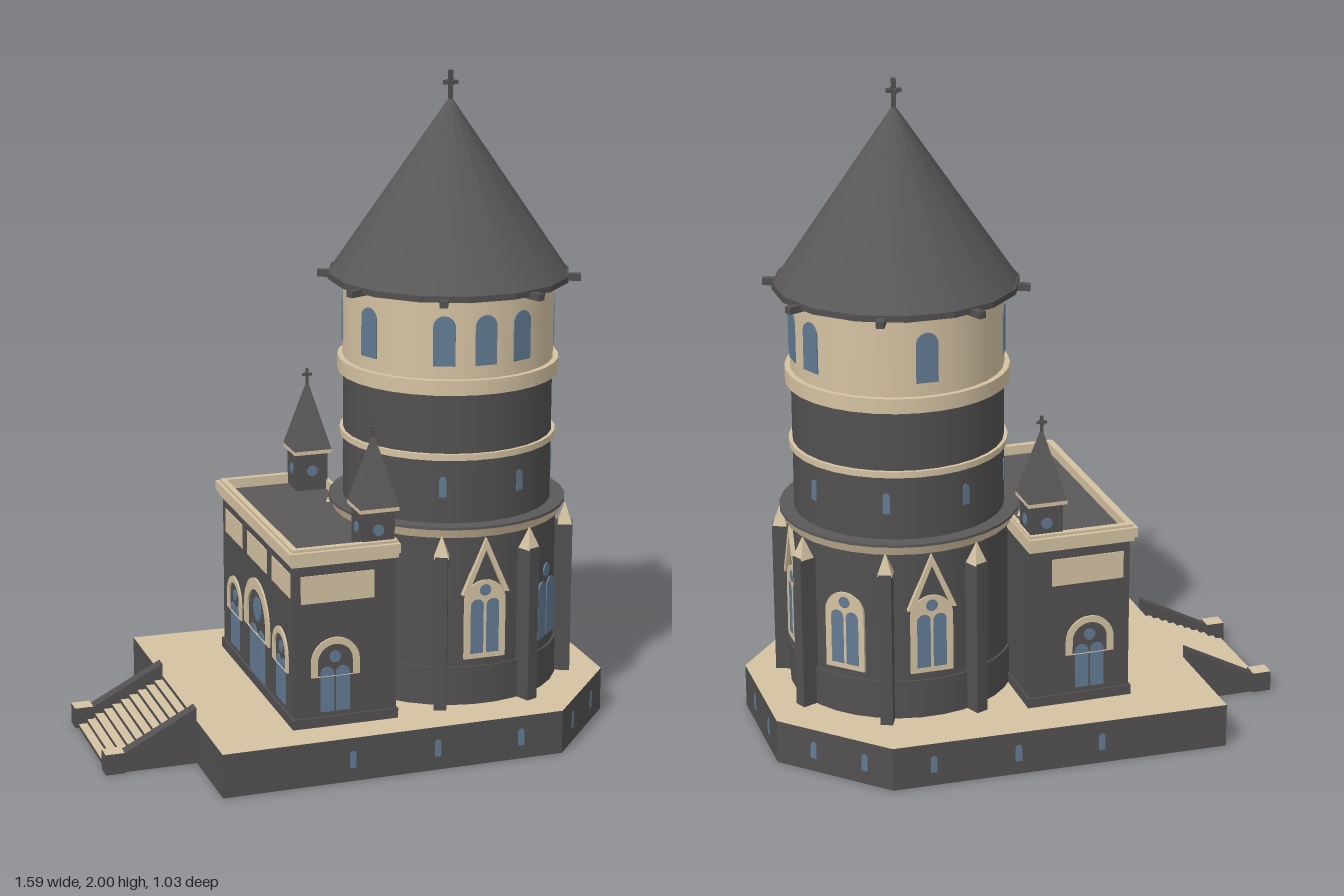
import * as THREE from 'three';

export function createModel() {
  const root = new THREE.Group();
  root.name = 'roundTowerChapel';
  const mat = (name, color) => {
    const m = new THREE.MeshStandardMaterial({ color });
    m.name = name;
    return m;
  };
  const stone = mat('darkStone', 0x525050);
  const slate = mat('roofSlate', 0x5a5858);
  const sand = mat('sandstone', 0xd4c2a2);
  const glass = mat('blueGlass', 0x637a93);

  const add = (parent, name, geo, m, x = 0, y = 0, z = 0) => {
    const mesh = new THREE.Mesh(geo, m);
    mesh.name = name;
    mesh.position.set(x, y, z);
    parent.add(mesh);
    return mesh;
  };
  const group = (parent, name, x = 0, y = 0, z = 0, ry = 0) => {
    const g = new THREE.Group();
    g.name = name;
    g.position.set(x, y, z);
    g.rotation.y = ry;
    parent.add(g);
    return g;
  };
  // Box given by its lower and upper corners
  const box = (parent, name, m, x0, x1, y0, y1, z0, z1) =>
    add(parent, name, new THREE.BoxGeometry(x1 - x0, y1 - y0, z1 - z0), m,
      (x0 + x1) / 2, (y0 + y1) / 2, (z0 + z1) / 2);
  // Round or polygonal section between two heights, with a flat side to the front
  const drum = (parent, name, m, r0, r1, y0, y1, sides = 32, flat = false) => {
    let geo = new THREE.CylinderGeometry(r1, r0, y1 - y0, sides);
    geo.rotateY(Math.PI / sides);
    if (flat) {
      geo = geo.toNonIndexed();
      geo.computeVertexNormals();
    }
    return add(parent, name, geo, m, 0, (y0 + y1) / 2, 0);
  };
  // Round-headed outline: x centre, half width, sill and springing heights
  const arch = (cx, hw, y0, ys, Type = THREE.Shape) => {
    const s = new Type();
    s.moveTo(cx - hw, y0);
    s.lineTo(cx + hw, y0);
    s.lineTo(cx + hw, ys);
    s.absarc(cx, ys, hw, 0, Math.PI, false);
    s.closePath();
    return s;
  };
  const disc = (cx, cy, r) => {
    const s = new THREE.Shape();
    s.absarc(cx, cy, r, 0, Math.PI * 2, false);
    return s;
  };
  const poly = pts => new THREE.Shape(pts.map(p => new THREE.Vector2(p[0], p[1])));
  const plate = (parent, name, shape, m, z, depth = 0.006) =>
    add(parent, name, new THREE.ExtrudeGeometry(shape, { depth, bevelEnabled: false, curveSegments: 8 }), m, 0, 0, z);
  // Pair of narrow lights with a small round light above
  const twinLights = (parent, y0, ys, z, hw = 0.021, rose = 0.018) => {
    for (const s of [-1, 1]) plate(parent, 'light', arch(s * (hw + 0.003), hw, y0, ys), glass, z);
    plate(parent, 'roundLight', disc(0, ys + hw + 0.03, rose), glass, z);
  };
  const cross = (parent, y, h, w) => {
    const t = w * 0.26;
    box(parent, 'finialPost', stone, -t / 2, t / 2, y, y + h, -t / 2, t / 2);
    const yb = y + h * 0.58;
    box(parent, 'finialBar', stone, -w / 2, w / 2, yb, yb + t, -t / 2, t / 2);
    box(parent, 'finialBar', stone, -t / 2, t / 2, yb, yb + t, -w / 2, w / 2);
  };

  // Terrace
  const outline = [[-0.52, 0.515], [0.54, 0.505], [0.792, 0.21], [0.792, -0.2], [0.515, -0.485], [-0.52, -0.515]];
  const terrace = new THREE.ExtrudeGeometry(poly(outline.map(([x, z]) => [x, -z])), { depth: 0.135, bevelEnabled: false });
  terrace.rotateX(-Math.PI / 2);
  add(root, 'terrace', terrace, [sand, stone]);
  // Terrace vents, spread along each wall except the stair side
  [[0.375, 0.625, 0.875], [0.27, 0.74], [0.31, 0.74], [0.32, 0.76], [0.12, 0.37, 0.62]].forEach((spots, i) => {
    const [ax, az] = outline[i], [bx, bz] = outline[i + 1];
    for (const t of spots) {
      const g = group(root, 'terraceVent', ax + (bx - ax) * t, 0, az + (bz - az) * t, Math.atan2(-(bz - az), bx - ax));
      plate(g, 'ventGlass', arch(0, 0.01, 0.042, 0.085), glass, -0.003, 0.0045);
    }
  });

  // Stairs
  const stairs = group(root, 'stairs');
  const topped = [stone, stone, sand, stone, stone, stone];
  const steps = 10, run = 0.27 / steps;
  for (let i = 0; i < steps; i++) {
    const top = 0.135 * (i + 1) / (steps + 1);
    box(stairs, 'step', topped, -0.79 + i * run, -0.79 + (i + 1) * run, Math.max(0, top - 0.025), top, -0.155, 0.205);
  }
  for (const z of [-0.19, 0.2]) {
    plate(stairs, 'stairParapet', poly([[-0.79, 0], [-0.52, 0], [-0.52, 0.175], [-0.74, 0.06], [-0.79, 0.06]]), stone, z, 0.037);
    box(stairs, 'newel', topped, -0.8, -0.742, 0, 0.064, z - 0.008, z + 0.045);
  }

  // Entrance hall
  const hall = group(root, 'entranceHall', 0, 0, 0.025);
  box(hall, 'hallWalls', [stone, stone, slate, stone, stone, stone], -0.265, 0.05, 0.135, 0.66, -0.37, 0.37);
  box(hall, 'hallPlinth', stone, -0.272, 0.055, 0.135, 0.165, -0.377, 0.377);
  const ring = (name, x0, x1, z, y0, y1) => {
    const s = poly([[x0, -z], [x1, -z], [x1, z], [x0, z]]);
    s.holes.push(poly([[-0.255, -0.358], [-0.255, 0.358], [0.04, 0.358], [0.04, -0.358]]));
    const g = new THREE.ExtrudeGeometry(s, { depth: y1 - y0, bevelEnabled: false });
    g.rotateX(-Math.PI / 2);
    add(hall, name, g, sand, 0, y0, 0);
  };
  ring('lowerCornice', -0.275, 0.053, 0.38, 0.637, 0.653);
  ring('upperCornice', -0.283, 0.056, 0.39, 0.653, 0.682);
  ring('parapetTop', -0.272, 0.052, 0.378, 0.682, 0.69);

  // Arched opening with a hood ring
  const hoodedWindow = (parent, x, r, ys, lights) => {
    const g = group(parent, 'hoodedWindow', x);
    const hood = arch(0, r, ys - 0.045, ys);
    hood.holes.push(arch(0, r * 0.73, ys - 0.044, ys, THREE.Path));
    plate(g, 'hood', hood, sand, -0.002, 0.008);
    lights(g);
  };
  const smallWindow = (parent, x) => hoodedWindow(parent, x, 0.075, 0.335, g => twinLights(g, 0.18, 0.298, -0.003));
  for (const s of [1, -1]) {
    const end = group(hall, 'hallEnd', -0.14, 0, s * 0.37, s > 0 ? 0 : Math.PI);
    const x0 = s > 0 ? -0.105 : -0.12;
    plate(end, 'panel', poly([[x0, 0.52], [x0 + 0.225, 0.52], [x0 + 0.225, 0.605], [x0, 0.605]]), sand, -0.003);
    smallWindow(end, 0);
  }
  const facade = group(hall, 'hallFacade', -0.265, 0, 0, -Math.PI / 2);
  for (const [x, w] of [[-0.245, 0.09], [0, 0.1], [0.245, 0.09]]) {
    plate(facade, 'panel', poly([[x - w, 0.53], [x + w, 0.53], [x + w, 0.605], [x - w, 0.605]]), sand, -0.003);
  }
  for (const x of [-0.24, 0.24]) smallWindow(facade, x);
  hoodedWindow(facade, 0, 0.13, 0.35, g => {
    for (const s of [-1, 1]) plate(g, 'doorLeaf', arch(s * 0.04, 0.036, 0.165, 0.29), glass, -0.003);
    plate(g, 'doorRose', disc(0, 0.385, 0.038), glass, -0.003);
  });

  // Corner turrets on the hall
  for (const z of [0.34, -0.29]) {
    const t = group(root, 'cornerTurret', -0.005, 0, z);
    box(t, 'turretBody', stone, -0.05, 0.05, 0.64, 0.78, -0.05, 0.05);
    box(t, 'turretCornice', sand, -0.06, 0.06, 0.778, 0.79, -0.06, 0.06);
    drum(t, 'turretSpire', slate, 0.085, 0.002, 0.79, 1.0, 4, true);
    cross(t, 0.985, 0.055, 0.03);
    for (let k = 0; k < 4; k++) {
      const g = group(t, 'turretRose', 0, 0, 0, k * Math.PI / 2);
      plate(g, 'roseGlass', disc(0, 0.722, 0.017), glass, 0.047);
    }
  }

  // Round tower
  const tower = group(root, 'tower', 0.34, 0, 0.03);
  drum(tower, 'towerPlinth', stone, 0.342, 0.342, 0.135, 0.255);
  drum(tower, 'lowerWall', stone, 0.335, 0.335, 0.135, 0.67);
  drum(tower, 'lowerCornice', sand, 0.348, 0.36, 0.664, 0.692);
  drum(tower, 'lowerLedge', slate, 0.362, 0.362, 0.692, 0.7);
  drum(tower, 'middleWall', stone, 0.317, 0.317, 0.69, 1.1);
  drum(tower, 'stringCourse', sand, 0.328, 0.328, 0.895, 0.914);
  drum(tower, 'belfryBand', sand, 0.335, 0.335, 1.095, 1.14);
  drum(tower, 'belfryWall', sand, 0.318, 0.318, 1.13, 1.39);
  drum(tower, 'eave', stone, 0.366, 0.366, 1.38, 1.398, 16, true);
  drum(tower, 'spire', slate, 0.36, 0.003, 1.398, 1.92, 16);
  cross(tower, 1.9, 0.1, 0.045);

  // Belfry openings: threes to the front and left, fewer on the other sides
  const belfryBays = [15, 0, 1, 3, 4, 5, 8, 11, 13];
  for (let k = 0; k < 16; k++) {
    const bay = group(tower, 'towerBay', 0, 0, 0, k * Math.PI / 8);
    if (belfryBays.includes(k)) plate(bay, 'belfryWindow', arch(0, 0.033, 1.18, 1.297), glass, 0.314);
    if (k % 2 === 0) continue;
    // Slits, buttresses and spouts
    plate(bay, 'slitWindow', arch(0, 0.011, 0.78, 0.832), glass, 0.313);
    box(bay, 'buttress', stone, -0.019, 0.019, 0.135, 0.615, 0.32, 0.388);
    const cap = group(bay, 'buttressCap', 0, 0, 0.364);
    drum(cap, 'capPyramid', sand, 0.032, 0.002, 0.61, 0.674, 4, true);
    box(bay, 'spout', stone, -0.012, 0.012, 1.372, 1.392, 0.3, 0.396);
  }

  // Large windows on the lower wall: angle, framed, gabled
  for (const [k, framed, gabled] of [[0, true, true], [1, false, false], [2, true, true], [3, true, false], [4, true, true]]) {
    const w = group(tower, 'lancetWindow', 0, 0, 0, k * Math.PI / 4);
    if (framed) {
      const frame = arch(0, 0.065, 0.28, 0.46);
      for (const s of [-1, 1]) frame.holes.push(arch(s * 0.025, 0.021, 0.295, 0.445, THREE.Path));
      plate(w, 'windowFrame', frame, sand, 0.331, 0.0085);
      twinLights(w, 0.295, 0.445, 0.332);
      plate(w, 'tracery', disc(0, 0.494, 0.018), glass, 0.335);
    } else {
      twinLights(w, 0.29, 0.44, 0.332, 0.029, 0.022);
    }
    if (gabled) {
      plate(w, 'gable', poly([[-0.075, 0.485], [-0.058, 0.485], [0, 0.622], [0.058, 0.485], [0.075, 0.485], [0, 0.658]]), sand, 0.33, 0.016);
    }
  }
  return root;
}
